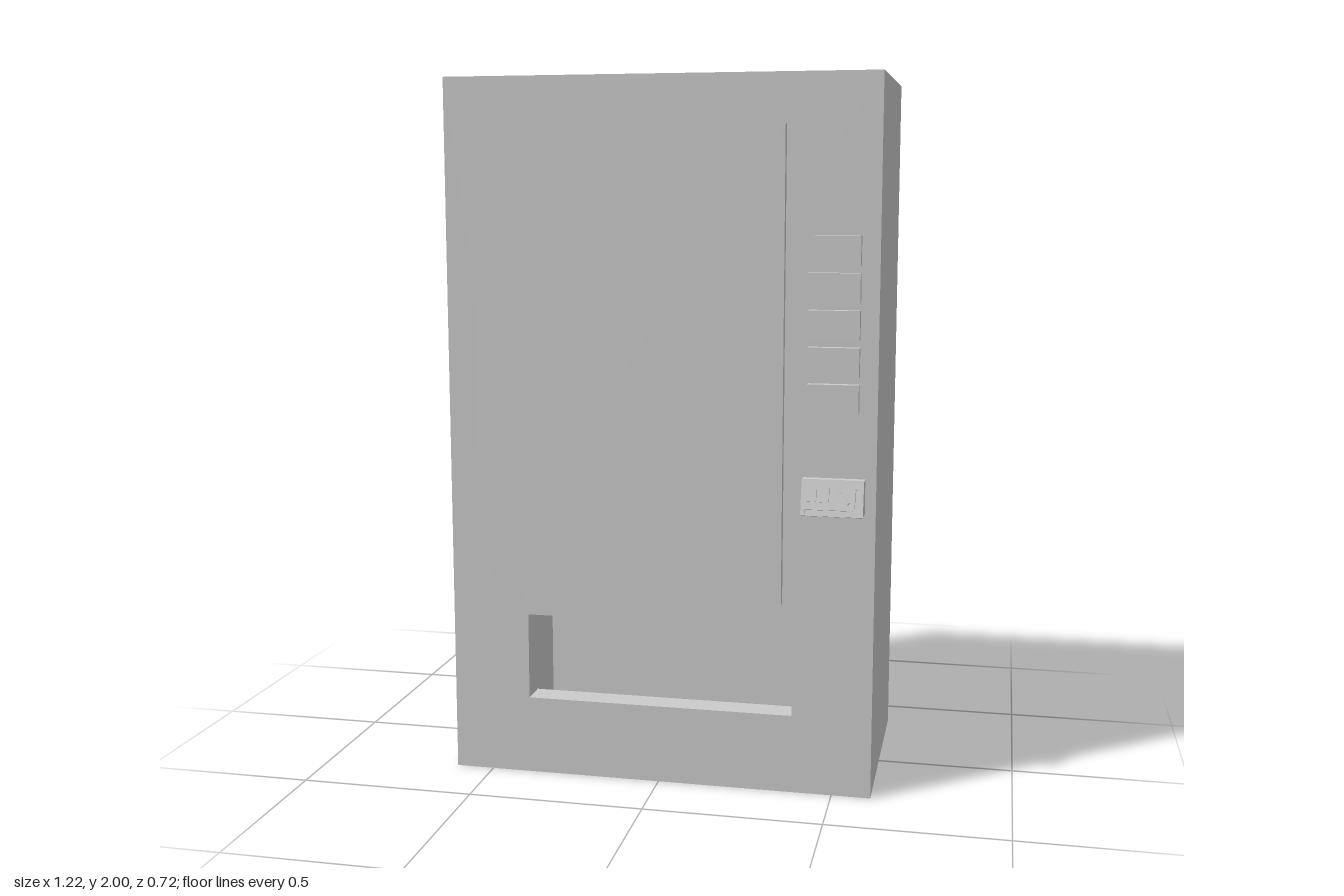
import * as THREE from 'three';

const grey = new THREE.MeshStandardMaterial({ color: 0xcccccc, flatShading: true });

export function createModel() {
  const model = new THREE.Group();
  model.name = 'vendingMachine';

  const add = (parent, name, geometry) => {
    const mesh = new THREE.Mesh(geometry, grey);
    mesh.name = name;
    parent.add(mesh);
    return mesh;
  };

  // Box given by its limits on each axis
  const box = (parent, name, x0, x1, y0, y1, z0, z1) => {
    const mesh = add(parent, name, new THREE.BoxGeometry(x1 - x0, y1 - y0, z1 - z0));
    mesh.position.set((x0 + x1) / 2, (y0 + y1) / 2, (z0 + z1) / 2);
    return mesh;
  };

  const outline = (Type, x0, x1, y0, y1) => new Type([
    new THREE.Vector2(x0, y0), new THREE.Vector2(x1, y0),
    new THREE.Vector2(x1, y1), new THREE.Vector2(x0, y1),
  ]);

  // Upright slab with rectangular openings, from z0 to z1
  const slab = (parent, name, rect, holes, z0, z1) => {
    const shape = outline(THREE.Shape, ...rect);
    holes.forEach((h) => shape.holes.push(outline(THREE.Path, ...h)));
    const mesh = add(parent, name,
      new THREE.ExtrudeGeometry(shape, { depth: z1 - z0, bevelEnabled: false }));
    mesh.position.z = z0;
    return mesh;
  };

  // Cabinet: solid back, collection bin, and front wall with the pickup opening
  const cabinet = new THREE.Group();
  cabinet.name = 'cabinet';
  model.add(cabinet);
  const face = [-0.61, 0.61, 0, 2];
  box(cabinet, 'cabinetBack', ...face, -0.36, 0.055);
  slab(cabinet, 'collectionBin', face, [[-0.385, 0.385, 0.14, 0.475]], 0.055, 0.215);
  slab(cabinet, 'frontWall', face, [[-0.385, 0.385, 0.225, 0.475]], 0.215, 0.295);

  // Display panel
  box(model, 'displayPanel', -0.52, 0.355, 0.55, 1.865, 0.295, 0.32);

  // Column of selection buttons
  for (let i = 0; i < 5; i++) {
    const y = 1.09 + i * 0.1;
    box(model, 'selectionButton', 0.42, 0.56, y, y + 0.08, 0.295, 0.32);
  }

  // Coin unit: wedge housing with a sloping faceplate
  const coinUnit = new THREE.Group();
  coinUnit.name = 'coinUnit';
  model.add(coinUnit);

  const profile = new THREE.Shape([
    new THREE.Vector2(-0.295, 0.815), new THREE.Vector2(-0.343, 0.815),
    new THREE.Vector2(-0.317, 0.91), new THREE.Vector2(-0.295, 0.91),
  ].reverse());
  const housing = add(coinUnit, 'coinHousing',
    new THREE.ExtrudeGeometry(profile, { depth: 0.17, bevelEnabled: false }));
  housing.rotation.y = Math.PI / 2;
  housing.position.x = 0.41;

  const plate = new THREE.Group();
  plate.name = 'coinFaceplate';
  plate.position.set(0.41, 0.815, 0.355);
  plate.rotation.x = -Math.atan2(0.026, 0.095);
  coinUnit.add(plate);
  slab(plate, 'slottedPlate', [0, 0.17, 0, 0.0985],
    [[0.01, 0.142, 0.006, 0.017], [0.147, 0.157, 0.025, 0.075]], -0.012, 0);

  // Small keys and the return lever
  for (const x of [0.017, 0.052]) {
    box(plate, 'coinKey', x, x + 0.025, 0.038, 0.078, 0, 0.008);
  }
  const lever = box(plate, 'returnLever', 0.09, 0.138, 0.048, 0.058, 0, 0.014);
  lever.rotation.z = -0.82;

  return model;
}
